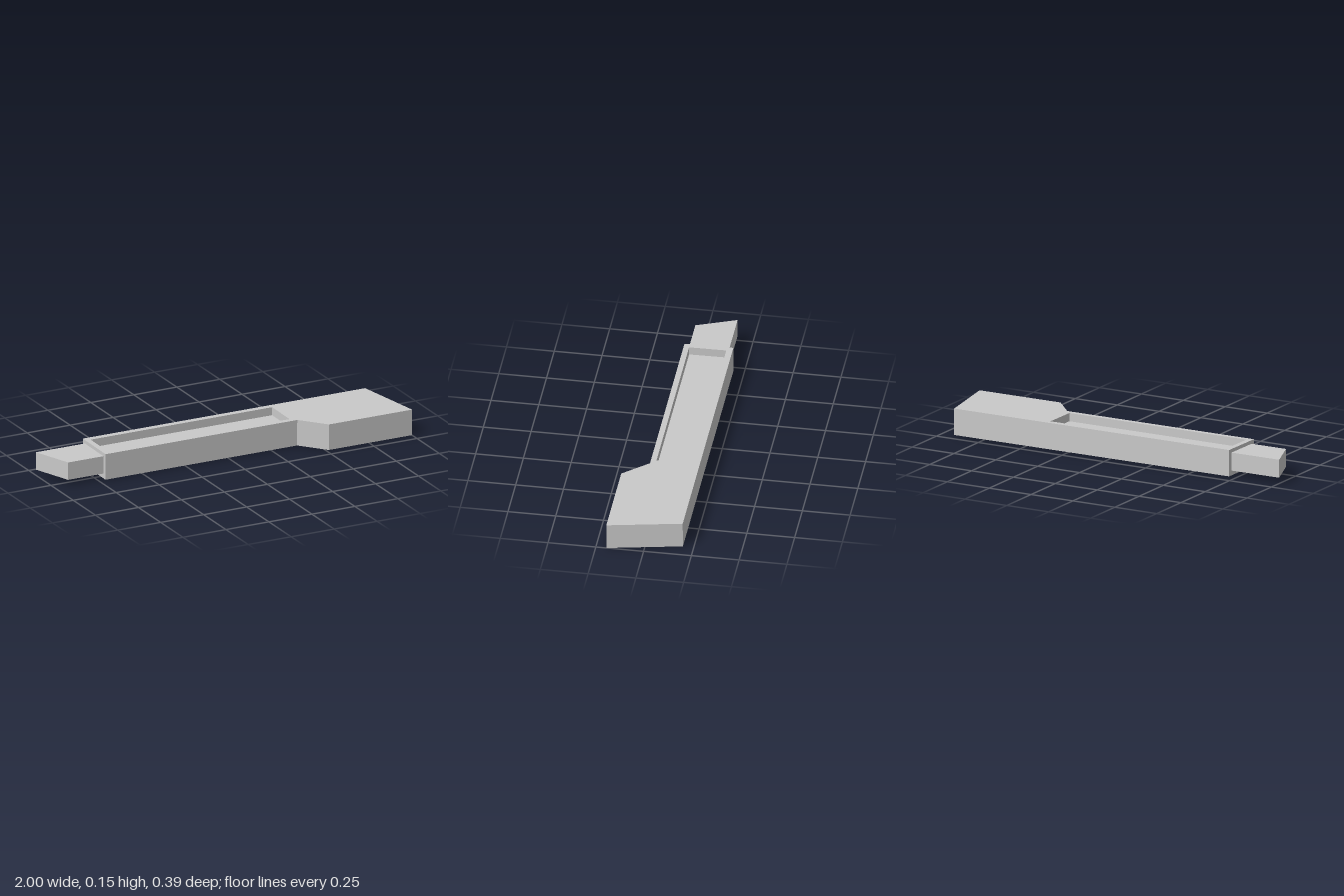
import * as THREE from 'three';

// Extrudes a plan outline given as [x, z] points upward from y0 to y1
function slab(name, outline, y0, y1, material, hole) {
  const toPoints = (list) => list.map(([x, z]) => new THREE.Vector2(x, -z));
  const shape = new THREE.Shape(toPoints(outline));
  if (hole) shape.holes.push(new THREE.Path(toPoints(hole)));
  const geometry = new THREE.ExtrudeGeometry(shape, { depth: y1 - y0, bevelEnabled: false });
  geometry.rotateX(-Math.PI / 2);
  geometry.translate(0, y0, 0);
  const mesh = new THREE.Mesh(geometry, material);
  mesh.name = name;
  return mesh;
}

export function createModel() {
  const group = new THREE.Group();
  group.name = 'recessedBar';
  const grey = new THREE.MeshStandardMaterial({ color: 0xc9c9c9 });
  grey.name = 'plain grey';

  // Long bar with a wide slanted head, open where the tray sits;
  // the opening runs opposite to the outline so its walls face inward
  const tray = [[-0.686, 0.033], [0.37, 0.033], [0.37, -0.162], [-0.686, -0.162]];
  const body = [[-0.715, -0.194], [0.927, -0.194], [1, 0.194], [0.516, 0.194], [0.4, 0.062], [-0.715, 0.062]];
  group.add(slab('body', body, 0, 0.141, grey, tray));

  // Floor of the shallow tray
  group.add(slab('trayFloor', tray, 0, 0.097, grey));

  // Narrow tongue with a slanted end
  const tongue = [[-1, -0.17], [-0.715, -0.17], [-0.715, 0.038], [-0.92, 0.038]];
  group.add(slab('tongue', tongue, 0.026, 0.122, grey));

  // The bar lies very slightly tilted, resting on its front head corner
  group.rotation.set(0.008, 0, -0.001);
  group.position.y = 0.0026;
  return group;
}
